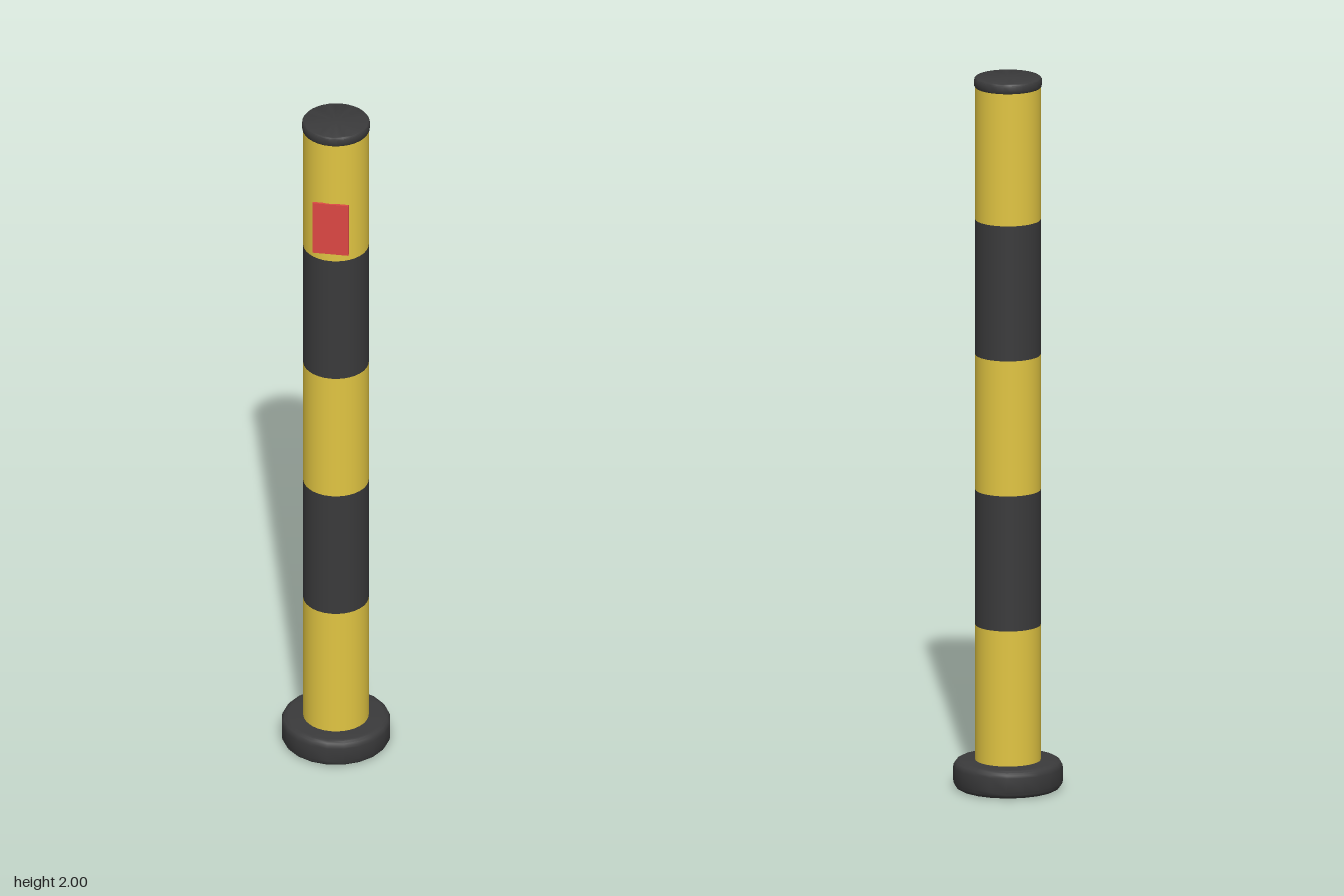
import * as THREE from 'three';
import { toCreasedNormals } from 'three/addons/utils/BufferGeometryUtils.js';

export function createModel() {
  const group = new THREE.Group();
  const material = (name, color) => {
    const m = new THREE.MeshStandardMaterial({ color });
    m.name = name;
    return m;
  };
  const yellow = material('yellow', 0xe0c442);
  const black = material('black', 0x3a3a3b);
  const red = material('red', 0xdc4743);

  const add = (name, geometry, mat, y = 0, z = 0) => {
    const mesh = new THREE.Mesh(geometry, mat);
    mesh.name = name;
    mesh.position.set(0, y, z);
    group.add(mesh);
  };

  // Solid disc with rounded rims, standing on y = 0
  const roundedDisc = (radius, height, bevel, sides) => {
    const profile = [new THREE.Vector2(0, 0)];
    for (const [cy, start] of [[bevel, -Math.PI / 2], [height - bevel, 0]]) {
      for (let i = 0; i <= 4; i++) {
        const a = start + (i / 4) * Math.PI / 2;
        profile.push(new THREE.Vector2(radius - bevel + Math.cos(a) * bevel, cy + Math.sin(a) * bevel));
      }
    }
    profile.push(new THREE.Vector2(0, height));
    return toCreasedNormals(new THREE.LatheGeometry(profile, sides), 0.6);
  };

  // Foot and top cap
  add('base', roundedDisc(0.15, 0.08, 0.02, 20), black);
  add('cap', roundedDisc(0.093, 0.03, 0.008, 32), black, 1.97);

  // Striped pole, alternating bands
  const bottom = 0.08, top = 1.98, bands = 5;
  const h = (top - bottom) / bands;
  for (let i = 0; i < bands; i++) {
    const band = new THREE.CylinderGeometry(0.09, 0.09, h, 32, 1, i > 0 && i < bands - 1);
    add('poleBand' + (i + 1), band, i % 2 ? black : yellow, bottom + h * (i + 0.5));
  }

  // Flat reflector plate on the front
  add('reflector', new THREE.BoxGeometry(0.1, 0.16, 0.007), red, 1.705, 0.0905);

  return group;
}
